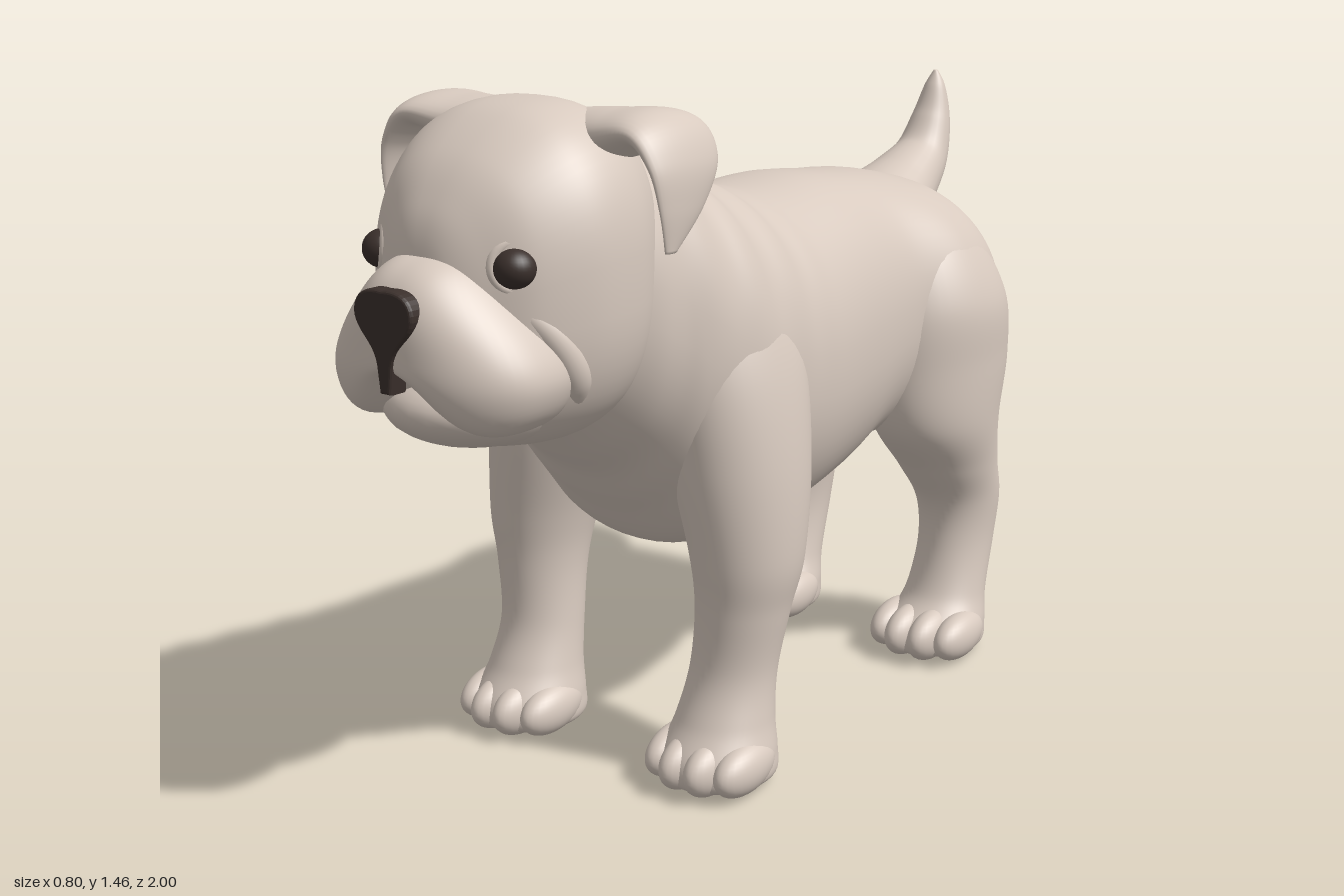
import * as THREE from 'three';

const coat = new THREE.MeshStandardMaterial({ color: 0xd8cabf });
coat.name = 'fawn coat';
const dark = new THREE.MeshStandardMaterial({ color: 0x3b302c });
dark.name = 'dark brown';

const X = new THREE.Vector3(1, 0, 0);
const Y = new THREE.Vector3(0, 1, 0);
const Z = new THREE.Vector3(0, 0, 1);

// Catmull-Rom sample of every number in a list of sections
function sample(sections, u) {
  const last = sections.length - 1;
  const i = Math.min(Math.floor(u), last - 1);
  const t = u - i;
  const at = (k) => sections[THREE.MathUtils.clamp(k, 0, last)];
  return sections[i].map((b, k) => {
    const a = at(i - 1)[k], c = at(i + 1)[k], d = at(i + 2)[k];
    return b + 0.5 * t * (c - a + t * (2 * a - 5 * b + 4 * c - d + t * (3 * (b - c) + d - a)));
  });
}

// Closed smooth loft through sections [x, y, z, half width on side, half width on up]
function loft(sections, side, up = null, { n = 2, sides = 48, steps = 9, deform = null } = {}) {
  const pos = [], index = [];
  const rows = (sections.length - 1) * steps;
  const put = (v) => { if (deform) deform(v); pos.push(v.x, v.y, v.z); };
  const centre = (u) => new THREE.Vector3(...sample(sections, u).slice(0, 3));
  for (let r = 0; r <= rows; r++) {
    const u = r / steps;
    const [x, y, z, a, b] = sample(sections, u);
    const tangent = centre(Math.min(u + 0.05, sections.length - 1)).sub(centre(Math.max(u - 0.05, 0)));
    const axis = up || tangent.cross(side).normalize();
    for (let s = 0; s < sides; s++) {
      const c = Math.cos((s / sides) * Math.PI * 2), d = Math.sin((s / sides) * Math.PI * 2);
      const p = Math.sign(c) * Math.abs(c) ** (2 / n), q = Math.sign(d) * Math.abs(d) ** (2 / n);
      put(new THREE.Vector3(x, y, z).addScaledVector(side, p * a).addScaledVector(axis, q * b));
      const i = r * sides + s, j = r * sides + (s + 1) % sides;
      if (r < rows) index.push(i, j, i + sides, j, j + sides, i + sides);
    }
  }
  // end caps
  const first = pos.length / 3;
  put(centre(0));
  put(centre(sections.length - 1));
  for (let s = 0; s < sides; s++) {
    const t = (s + 1) % sides, e = rows * sides;
    index.push(first, t, s, first + 1, e + s, e + t);
  }
  const g = new THREE.BufferGeometry();
  g.setAttribute('position', new THREE.Float32BufferAttribute(pos, 3));
  g.setIndex(index);
  g.computeVertexNormals();
  return g;
}

// Sections given as [z, top, bottom, half width]
const spine = (list) => list.map(([z, t, b, w]) => [0, (t + b) / 2, z, w, (t - b) / 2]);
// Sections moved to the left (1) or right (-1) side
const mirror = (s, list) => list.map(([x, ...rest]) => [s * x, ...rest]);

function add(parent, name, geometry, material = coat) {
  const m = new THREE.Mesh(geometry, material);
  m.name = name;
  parent.add(m);
  return m;
}

function ellipsoid(parent, name, [x, y, z], [a, b, c], material = coat) {
  return add(parent, name, new THREE.SphereGeometry(1, 28, 20).scale(a, b, c).translate(x, y, z), material);
}

// Leg sections are [x, y, z, half width, half depth], from the top down to the paw
function leg(parent, name, s, list, footX, footZ) {
  const g = new THREE.Group();
  g.name = name;
  parent.add(g);
  add(g, 'limb', loft(mirror(s, list), X, Z));
  [-0.09, -0.032, 0.032, 0.09].forEach((dx, i) => {
    const middle = i === 1 || i === 2;
    const toe = ellipsoid(g, 'toe', [0, 0, 0], [0.043, middle ? 0.06 : 0.055, 0.095]);
    toe.position.set(s * footX + dx, 0.066, footZ + (middle ? 0.05 : 0.022));
    toe.rotation.x = 0.1;
  });
}

// Muzzle: rounded box, narrow above, with hanging lips parted in the middle
function muzzleGeometry() {
  const g = new THREE.SphereGeometry(1, 64, 48);
  const p = g.attributes.position;
  const v = new THREE.Vector3();
  for (let i = 0; i < p.count; i++) {
    v.fromBufferAttribute(p, i);
    const n = 2.9;
    v.divideScalar((Math.abs(v.x) ** n + Math.abs(v.y) ** n + Math.abs(v.z) ** n) ** (1 / n));
    const wide = 0.25 - 0.115 * THREE.MathUtils.smoothstep(v.y, -0.4, 1);
    const x = v.x * wide * (1 - 0.22 * Math.max(v.z, 0) ** 2);
    const low = THREE.MathUtils.smoothstep(-v.y, 0, 0.9);
    const lip = 0.1 * low * Math.exp(-((x / 0.1) ** 2)) - 0.012 * low;
    const groove = v.z > 0 ? 0.014 * low * Math.exp(-((x / 0.018) ** 2)) : 0;
    p.setXYZ(i, x, 1.03 + v.y * 0.175 + lip, 0.82 + v.z * 0.174 - groove);
  }
  g.computeVertexNormals();
  return g;
}

function noseGeometry() {
  const s = new THREE.Shape();
  s.moveTo(0, 0.06);
  s.bezierCurveTo(0.04, 0.065, 0.072, 0.052, 0.068, 0.015);
  s.bezierCurveTo(0.06, -0.02, 0.022, -0.03, 0.014, -0.075);
  s.lineTo(0.008, -0.125);
  s.lineTo(-0.008, -0.125);
  s.lineTo(-0.014, -0.075);
  s.bezierCurveTo(-0.022, -0.03, -0.06, -0.02, -0.068, 0.015);
  s.bezierCurveTo(-0.072, 0.052, -0.04, 0.065, 0, 0.06);
  return new THREE.ExtrudeGeometry(s, {
    depth: 0.03, bevelEnabled: true, bevelThickness: 0.008, bevelSize: 0.006, bevelSegments: 3, curveSegments: 10,
  });
}

export function createModel() {
  const dog = new THREE.Group();
  dog.name = 'puppy';

  // Torso and neck, with soft skin rolls over the shoulders
  const rolls = (v) => {
    const along = THREE.MathUtils.smoothstep(v.z, -0.08, 0.06);
    const high = Math.max(THREE.MathUtils.smoothstep(v.y, 0.8, 1.15), THREE.MathUtils.smoothstep(v.z, 0.36, 0.44));
    const k = 1 + 0.012 * along * high * Math.cos((v.z - 0.24) * Math.PI * 2 / 0.13);
    v.x *= k;
    v.y = 0.9 + (v.y - 0.9) * k;
  };
  add(dog, 'torso', loft(spine([
    [-0.856, 0.85, 0.8, 0.04], [-0.85, 0.93, 0.73, 0.16], [-0.825, 1.01, 0.65, 0.25], [-0.75, 1.135, 0.59, 0.325],
    [-0.6, 1.185, 0.555, 0.354], [-0.42, 1.205, 0.545, 0.3], [-0.25, 1.22, 0.49, 0.31], [-0.05, 1.215, 0.458, 0.333],
    [0.1, 1.25, 0.458, 0.338], [0.25, 1.3, 0.475, 0.338], [0.36, 1.355, 0.58, 0.305],
    [0.46, 1.39, 0.69, 0.275], [0.58, 1.38, 0.8, 0.23], [0.66, 1.3, 0.9, 0.12],
  ]), X, Y, { n: 2.2, sides: 64, steps: 12, deform: rolls }));

  // Tail
  add(dog, 'tail', loft([
    [0, 1.06, -0.7, 0.13, 0.11], [0, 1.115, -0.81, 0.095, 0.088], [0, 1.18, -0.905, 0.07, 0.066],
    [0, 1.27, -0.952, 0.05, 0.046], [0, 1.35, -0.968, 0.027, 0.024], [0, 1.39, -0.97, 0.005, 0.005],
  ], X, null, { sides: 28 }));

  // Skull, flat across the top
  const head = new THREE.Group();
  head.name = 'head';
  dog.add(head);
  add(head, 'skull', loft(spine([
    [0.4, 1.32, 1.0, 0.1], [0.44, 1.41, 0.92, 0.2], [0.52, 1.458, 0.83, 0.258], [0.6, 1.47, 0.8, 0.28],
    [0.7, 1.45, 0.8, 0.27], [0.8, 1.385, 0.82, 0.214], [0.86, 1.31, 0.86, 0.138],
    [0.892, 1.23, 0.93, 0.075], [0.902, 1.1, 1.0, 0.02],
  ]), X, Y, { n: 2.5, sides: 64 }));

  // Muzzle, chin and nose
  add(head, 'muzzle', muzzleGeometry());
  ellipsoid(head, 'chin', [0, 0.9, 0.74], [0.185, 0.09, 0.2]);
  const nose = add(head, 'nose', noseGeometry(), dark);
  nose.position.set(0, 1.086, 0.961);

  for (const s of [1, -1]) {
    const label = s > 0 ? 'left' : 'right';

    // Eye and eyelid
    ellipsoid(head, label + 'Eye', [s * 0.169, 1.185, 0.82], [0.042, 0.039, 0.042], dark);
    const lid = add(head, label + 'Eyelid', new THREE.TorusGeometry(0.045, 0.013, 12, 32));
    lid.position.set(s * 0.169, 1.187, 0.816);
    lid.rotation.set(-0.1, s * 0.75, 0, 'YXZ');

    // Cheek fold behind the lips
    add(head, label + 'CheekFold', loft(mirror(s, [
      [0.1, 1.17, 0.855, 0.008, 0.008], [0.175, 1.11, 0.805, 0.026, 0.026], [0.215, 1.03, 0.75, 0.034, 0.034],
      [0.215, 0.95, 0.71, 0.034, 0.034], [0.18, 0.87, 0.68, 0.008, 0.008],
    ]), X, null, { sides: 20 }));

    // Ear folded outward and hanging to a point
    add(head, label + 'Ear', loft(mirror(s, [
      [0.06, 1.385, 0.53, 0.07, 0.06], [0.19, 1.405, 0.53, 0.098, 0.05], [0.29, 1.418, 0.53, 0.113, 0.035],
      [0.342, 1.36, 0.535, 0.105, 0.024], [0.358, 1.28, 0.56, 0.068, 0.014], [0.357, 1.2, 0.595, 0.016, 0.006],
    ]), Z, null, { sides: 32 }));

    // Front leg
    leg(dog, label + 'FrontLeg', s, [
      [0.18, 1.13, 0.22, 0.03, 0.04], [0.195, 1.05, 0.22, 0.098, 0.12], [0.218, 0.9, 0.21, 0.138, 0.18],
      [0.25, 0.7, 0.22, 0.142, 0.165], [0.28, 0.5, 0.235, 0.12, 0.13], [0.279, 0.38, 0.248, 0.101, 0.106],
      [0.268, 0.25, 0.265, 0.094, 0.095], [0.266, 0.15, 0.292, 0.105, 0.108],
      [0.266, 0.08, 0.315, 0.122, 0.13], [0.266, 0.03, 0.315, 0.12, 0.13], [0.266, 0.008, 0.315, 0.08, 0.09],
    ], 0.266, 0.327);

    // Hind leg with thigh and hock
    leg(dog, label + 'HindLeg', s, [
      [0.18, 1.12, -0.6, 0.03, 0.04], [0.195, 1.04, -0.605, 0.112, 0.15], [0.218, 0.9, -0.615, 0.157, 0.212],
      [0.225, 0.75, -0.62, 0.155, 0.222], [0.235, 0.6, -0.615, 0.138, 0.19], [0.24, 0.48, -0.67, 0.113, 0.145],
      [0.243, 0.38, -0.72, 0.096, 0.122], [0.244, 0.27, -0.715, 0.088, 0.108], [0.244, 0.15, -0.672, 0.097, 0.102],
      [0.244, 0.08, -0.63, 0.115, 0.132], [0.244, 0.03, -0.625, 0.113, 0.132], [0.244, 0.008, -0.625, 0.08, 0.09],
    ], 0.244, -0.605);
  }
  return dog;
}
